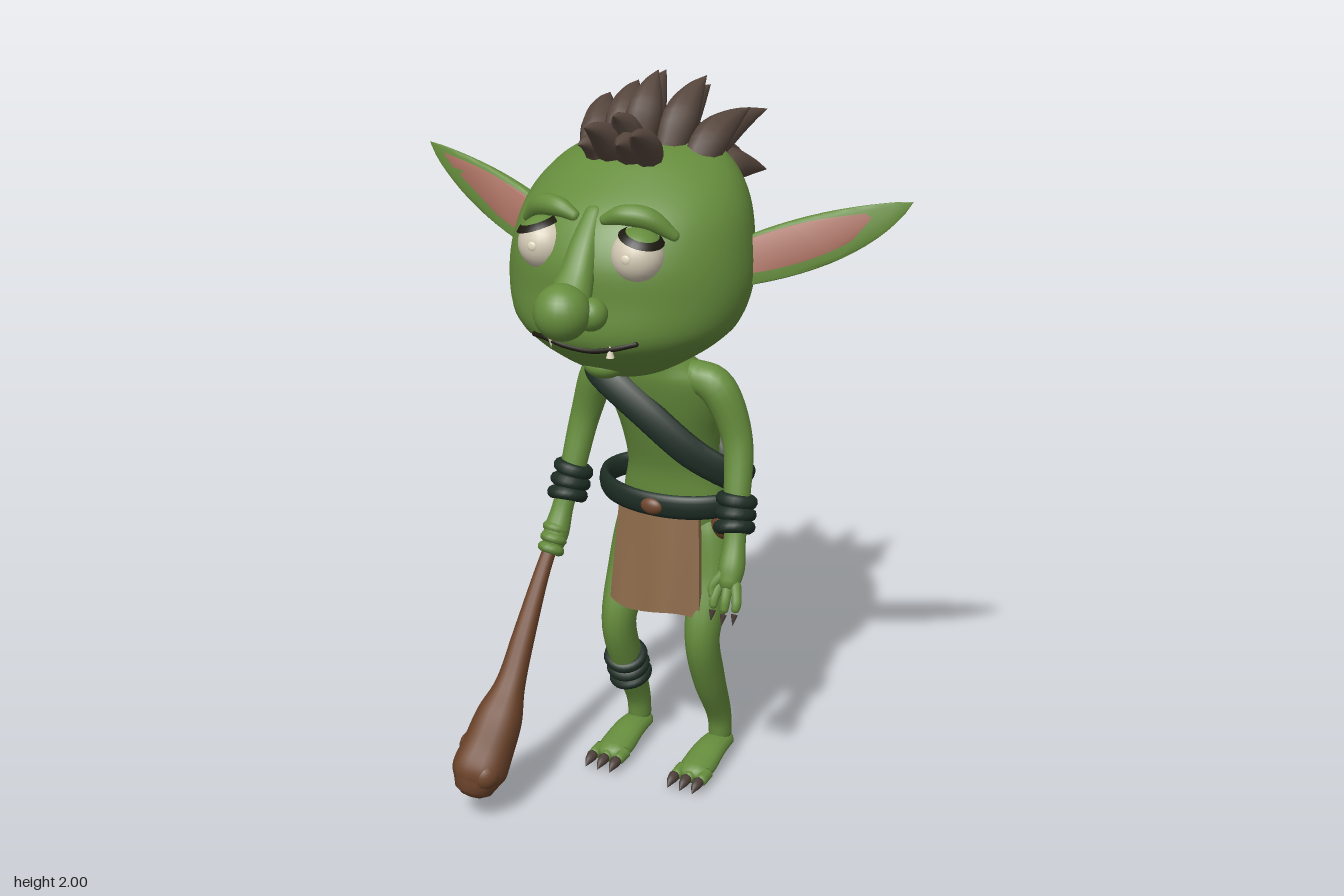
import * as THREE from 'three';
import { toCreasedNormals } from 'three/addons/utils/BufferGeometryUtils.js';

const paint = (name, color) => {
  const m = new THREE.MeshStandardMaterial({ color });
  m.name = name;
  return m;
};
const V = (x, y, z) => new THREE.Vector3(x, y, z);
const spline = (pts, closed = false) => new THREE.CatmullRomCurve3(pts, closed, 'catmullrom');

// Skins rings of { c, a, b } (centre and the two half axes, a x b pointing along the sweep)
function skin(rings, sides, closed = false) {
  const pos = [], index = [], n = rings.length;
  for (const { c, a, b } of rings) {
    for (let j = 0; j < sides; j++) {
      const t = (j / sides) * Math.PI * 2;
      const p = c.clone().addScaledVector(a, Math.cos(t)).addScaledVector(b, Math.sin(t));
      pos.push(p.x, p.y, p.z);
    }
  }
  for (let i = 0; i < (closed ? n : n - 1); i++) {
    for (let j = 0; j < sides; j++) {
      const k = (j + 1) % sides, u = i * sides, w = ((i + 1) % n) * sides;
      index.push(u + j, u + k, w + k, u + j, w + k, w + j);
    }
  }
  const g = new THREE.BufferGeometry();
  g.setAttribute('position', new THREE.Float32BufferAttribute(pos, 3));
  g.setIndex(index);
  g.computeVertexNormals();
  return g;
}

// Rounded limb through [x, y, z, radius] points; sa and sb squash the cross-section
function limb(pts, { sides = 14, steps = 6, sa = 1, sb = 1 } = {}) {
  const path = spline(pts.map(p => V(p[0], p[1], p[2])));
  const radius = spline(pts.map(p => V(p[3], 0, 0)));
  const d = path.getPoint(1).sub(path.getPoint(0));
  const ref = Math.abs(d.x) > Math.max(Math.abs(d.y), Math.abs(d.z)) ? V(0, 1, 0) : V(1, 0, 0);
  const n = (pts.length - 1) * steps, rings = [];
  const add = (t, k) => {
    const T = path.getTangent(t), r = Math.max(radius.getPoint(t).x, 0.001);
    const N = ref.clone().cross(T).normalize(), B = T.clone().cross(N);
    const s = r * Math.sqrt(1 - k * k);
    rings.push({ c: path.getPoint(t).addScaledVector(T, r * k * 0.7), a: N.multiplyScalar(s * sa), b: B.multiplyScalar(s * sb) });
  };
  [-1, -0.9, -0.6].forEach(k => add(0, k));
  for (let i = 0; i <= n; i++) add(i / n, 0);
  [0.6, 0.9, 1].forEach(k => add(1, k));
  return skin(rings, sides);
}

// Upright body from [y, z, half width, half depth] rows, listed upward
function smoothRows(rows, steps) {
  const c = spline(rows.map(r => V(0, r[0], r[1]))), s = spline(rows.map(r => V(r[2], r[3], 0)));
  const n = (rows.length - 1) * steps;
  return Array.from({ length: n + 1 }, (_, i) => {
    const q = s.getPoint(i / n);
    return { c: c.getPoint(i / n), a: V(0, 0, q.y), b: V(q.x, 0, 0) };
  });
}

// Closed strap around a centre
function strap(pts, centre, halfWidth, halfThick) {
  const path = spline(pts, true), rings = [];
  for (let i = 0; i < 64; i++) {
    const c = path.getPoint(i / 64), T = path.getTangent(i / 64);
    const N = c.clone().sub(centre);
    N.addScaledVector(T, -N.dot(T)).normalize();
    const B = T.clone().cross(N);
    rings.push({ c, a: N.multiplyScalar(halfThick), b: B.multiplyScalar(halfWidth) });
  }
  return skin(rings, 12, true);
}

export function createModel() {
  const model = new THREE.Group();
  model.name = 'goblin';
  const skinMat = paint('greenSkin', 0x668d3d), earMat = paint('innerEarPink', 0xa96f60);
  const hairMat = paint('hairBrown', 0x57473e), strapMat = paint('darkStrap', 0x1d2d24);
  const woodMat = paint('woodBrown', 0x6e452c), clothMat = paint('tanCloth', 0x8c6a4a);
  const eyeMat = paint('eyeWhite', 0xd3c9b4), lashMat = paint('lashBlack', 0x1c190f);
  const clawMat = paint('clawGrey', 0x4b3d38), toothMat = paint('toothCream', 0xe4dcc4);
  const add = (name, geo, mat, x = 0, y = 0, z = 0) => {
    const m = new THREE.Mesh(geo, mat);
    m.name = name;
    m.position.set(x, y, z);
    model.add(m);
    return m;
  };
  const ball = (r, t0 = 0, len = Math.PI) => new THREE.SphereGeometry(r, 24, 16, 0, Math.PI * 2, t0, len);

  // Head and torso
  const headRings = smoothRows([
    [1.237, 0.01, 0.005, 0.005], [1.25, 0.015, 0.08, 0.1], [1.29, 0.03, 0.155, 0.172], [1.35, 0.045, 0.24, 0.24],
    [1.41, 0.05, 0.295, 0.274], [1.5, 0.033, 0.318, 0.288], [1.6, 0.018, 0.31, 0.296], [1.7, -0.01, 0.283, 0.268],
    [1.78, -0.05, 0.225, 0.2], [1.825, -0.07, 0.14, 0.13], [1.845, -0.075, 0.005, 0.005]], 5);
  const faceZ = (x, y) => {
    const r = headRings.reduce((p, q) => (Math.abs(q.c.y - y) < Math.abs(p.c.y - y) ? q : p));
    return r.c.z + r.a.z * Math.sqrt(Math.max(0, 1 - (x / r.b.x) ** 2));
  };
  add('head', skin(headRings, 40), skinMat);
  add('torso', skin(smoothRows([
    [0.64, -0.235, 0.005, 0.005], [0.67, -0.235, 0.1, 0.07], [0.74, -0.24, 0.155, 0.1], [0.81, -0.235, 0.152, 0.108],
    [0.9, -0.22, 0.132, 0.1], [1.0, -0.2, 0.14, 0.11], [1.1, -0.17, 0.16, 0.11], [1.18, -0.14, 0.155, 0.1],
    [1.225, -0.12, 0.11, 0.085], [1.27, -0.09, 0.07, 0.07], [1.36, -0.03, 0.06, 0.06]], 4), 28), skinMat);

  // Nose, chin and mouth
  add('noseBridge', limb([[0, 1.71, 0.23, 0.02], [0, 1.64, 0.282, 0.032], [0, 1.57, 0.325, 0.04], [0, 1.51, 0.37, 0.052]], { sb: 1.15 }), skinMat);
  add('noseTip', ball(0.071), skinMat, 0, 1.5, 0.398);
  add('chin', ball(0.05), skinMat, 0, 1.302, 0.182).scale.set(1.1, 0.7, 1);
  add('mouth', limb([-0.145, -0.1, -0.04, 0.03, 0.09, 0.145].map((x, i) => {
    const y = [1.39, 1.392, 1.382, 1.38, 1.392, 1.408][i];
    return [x, y, faceZ(x, y) - 0.001, 0.007];
  }), { sides: 8 }), lashMat);

  for (const s of [1, -1]) {
    const side = s > 0 ? 'left' : 'right';
    const put = (name, ...rest) => add(side + name, ...rest);
    const mir = pts => pts.map(([x, ...r]) => [x * s, ...r]);

    put('Nostril', ball(0.042), skinMat, s * 0.054, 1.49, 0.352);
    put('Fang', new THREE.ConeGeometry(0.011, 0.036, 8), toothMat, s * 0.083, 1.388, faceZ(0.083, 1.388) + 0.006).rotation.x = s > 0 ? 0 : Math.PI;

    // Eyes with drooping lids
    const ex = s * 0.129, ey = 1.62, ez = 0.25;
    put('Eye', ball(0.067), eyeMat, ex, ey, ez);
    put('Pupil', ball(0.012), toothMat, ex, ey + 0.006, ez + 0.064).scale.z = 0.4;
    put('UpperLid', ball(0.071, 0, Math.PI * 0.24), skinMat, ex, ey, ez).rotation.set(0.12, 0, -s * 0.28);
    put('Lash', ball(0.075, Math.PI * 0.19, Math.PI * 0.09), lashMat, ex, ey, ez).rotation.set(0.12, 0, -s * 0.28);
    put('LowerLid', ball(0.07, Math.PI * 0.82, Math.PI * 0.18), skinMat, ex, ey, ez);
    put('Brow', limb(mir([[0.04, 1.7, 0.255, 0.014], [0.09, 1.717, 0.25, 0.025], [0.15, 1.708, 0.228, 0.027], [0.205, 1.665, 0.2, 0.014]])), skinMat);

    // Ears, swept back toward the tip
    const ear = (name, p, depth, bevel, z0, mat) => {
      const sh = new THREE.Shape();
      sh.moveTo(s * p[0], p[1]);
      sh.quadraticCurveTo(s * p[2], p[3], s * p[4], p[5]);
      sh.quadraticCurveTo(s * p[6], p[7], s * p[0], p[8]);
      sh.closePath();
      const g = new THREE.ExtrudeGeometry(sh, { depth, curveSegments: 14, bevelEnabled: bevel > 0, bevelSize: bevel, bevelThickness: bevel, bevelSegments: 2 });
      const a = g.attributes.position;
      for (let i = 0; i < a.count; i++) {
        const x = Math.abs(a.getX(i)), y = a.getY(i), taper = Math.max(0.15, (0.72 - x) / 0.42);
        a.setZ(i, (a.getZ(i) + z0) * taper - 0.05 - (x - 0.31) * 0.17 - (y - 1.56) * 0.25 * taper);
      }
      put(name, toCreasedNormals(g, 0.7), mat);
    };
    ear('Ear', [0.27, 1.6, 0.45, 1.69, 0.685, 1.73, 0.57, 1.56, 1.495], 0.018, 0.007, -0.01, skinMat);
    ear('InnerEar', [0.27, 1.6, 0.44, 1.68, 0.645, 1.712, 0.52, 1.565, 1.52], 0.006, 0, 0.012, earMat);

    // Arms and hands
    put('Arm', limb(mir([[0.1, 1.195, -0.12, 0.045], [0.175, 1.165, -0.125, 0.05], [0.228, 1.03, -0.135, 0.042], [0.248, 0.88, -0.095, 0.036],
      [0.26, 0.78, -0.06, 0.03], [0.266, 0.71, -0.03, 0.036], [0.268, 0.67, -0.01, 0.03]])), skinMat);
    const ringStack = (name, centre, dir, step, R, tube) => [-1, 0, 1].forEach(k => {
      const c = centre.clone().addScaledVector(dir, k * step);
      const m = put(name, new THREE.TorusGeometry(R, tube, 10, 24), strapMat, c.x, c.y, c.z);
      m.quaternion.setFromUnitVectors(V(0, 0, 1), V(dir.x + k * 0.12, dir.y, dir.z + k * 0.08).normalize());
    });
    ringStack('WristWrap', V(s * 0.25, 0.84, -0.083), V(s * 0.08, -0.93, 0.36).normalize(), 0.036, 0.038, 0.019);
    if (s > 0) {
      [-0.032, 0, 0.032].forEach((o, i) => {
        const x = 0.272 + o, low = i === 1 ? 0.608 : 0.615;
        put('Finger', limb([[0.268 + o * 0.7, 0.67, -0.005, 0.015], [x, 0.635, 0.018, 0.014], [x, low, 0.027, 0.012]], { sides: 8 }), skinMat);
        put('FingerClaw', limb([[x, low - 0.012, 0.032, 0.01], [x, low - 0.038, 0.042, 0.001]], { sides: 8 }), clawMat);
      });
      put('Thumb', limb([[0.255, 0.7, -0.01, 0.016], [0.23, 0.665, 0.01, 0.013], [0.232, 0.64, 0.02, 0.01]], { sides: 8 }), skinMat);
    } else {
      [0.715, 0.69, 0.665].forEach(y => {
        const m = put('GripFinger', new THREE.TorusGeometry(0.025, 0.014, 8, 18), skinMat, -0.268, y, -0.03 + (0.715 - y) * 0.6);
        m.quaternion.setFromUnitVectors(V(0, 0, 1), V(-0.1, -0.85, 0.5).normalize());
      });
    }

    // Legs, feet and claws
    put('Leg', limb(mir([[0.09, 0.78, -0.245, 0.06], [0.105, 0.7, -0.24, 0.075], [0.122, 0.58, -0.21, 0.07], [0.13, 0.43, -0.14, 0.051],
      [0.13, 0.28, -0.185, 0.046], [0.13, 0.14, -0.255, 0.036], [0.13, 0.06, -0.27, 0.034]]), { sa: 1.12, sb: 0.94 }), skinMat);
    put('Foot', limb(mir([[0.13, 0.042, -0.275, 0.038], [0.13, 0.042, -0.2, 0.044], [0.13, 0.026, -0.13, 0.048], [0.13, 0.02, -0.09, 0.044]]), { sa: 0.66, sb: 1.05 }), skinMat);
    [-0.038, 0, 0.038].forEach(o => {
      const x = s * 0.13 + o;
      put('Toe', limb([[x, 0.022, -0.1, 0.018], [x * 1.01, 0.02, -0.06, 0.017]], { sides: 10 }), skinMat);
      put('ToeClaw', limb([[x, 0.022, -0.045, 0.016], [x, 0.017, -0.025, 0.012], [x, 0.006, -0.004, 0.001]], { sides: 8 }), clawMat);
    });
    if (s < 0) ringStack('AnkleWrap', V(-0.13, 0.255, -0.195), V(0, -0.92, -0.39), 0.04, 0.047, 0.016);
  }

  // Sash, loose belt, buckle and pouch
  add('sash', strap([V(-0.18, 1.205, -0.12), V(-0.13, 1.195, -0.04), V(0, 1.1, -0.04), V(0.13, 0.985, -0.08), V(0.235, 0.905, -0.16),
    V(0.15, 0.89, -0.28), V(0, 0.965, -0.32), V(-0.1, 1.07, -0.285), V(-0.165, 1.17, -0.2)], V(0, 1.03, -0.18), 0.043, 0.016), strapMat);
  const beltPts = Array.from({ length: 16 }, (_, i) => {
    const t = (i / 16) * Math.PI * 2;
    return V(Math.sin(t) * 0.205, 0.828 - Math.cos(t) * 0.014, -0.222 + Math.cos(t) * 0.127);
  });
  add('belt', strap(beltPts, V(0, 0.825, -0.222), 0.036, 0.016), strapMat);
  add('buckle', ball(0.03), woodMat, 0, 0.813, -0.085).scale.set(1.1, 0.8, 0.6);
  add('pouch', ball(0.045), woodMat, 0.165, 0.75, -0.205).scale.set(0.9, 1.05, 0.85);

  // Loincloth flaps, flared and bowed around the hips
  const flap = (name, mat, h, z, lean, face) => {
    const g = new THREE.BoxGeometry(1, h, 0.016, 14, 8, 1), a = g.attributes.position;
    for (let i = 0; i < a.count; i++) {
      const d = 0.5 - a.getY(i) / h, x = a.getX(i) * (0.24 + 0.035 * d);
      const wave = Math.sin(x * 45) * 0.006 * d;
      a.setXYZ(i, x, a.getY(i) + d * Math.sin(x * 30) * 0.008, a.getZ(i) + lean * d + wave - face * x * x * 1.6);
    }
    g.computeVertexNormals();
    add(name, g, mat, 0, 0.81 - h / 2, z);
  };
  flap('frontLoincloth', clothMat, 0.31, -0.112, 0.032, 1);
  flap('backLoincloth', woodMat, 0.28, -0.34, -0.014, -1);

  // Club, lumpy at the striking end
  add('club', limb([[-0.262, 0.74, -0.055, 0.018], [-0.275, 0.62, 0.03, 0.021], [-0.283, 0.46, 0.128, 0.031], [-0.287, 0.34, 0.2, 0.041],
    [-0.295, 0.26, 0.25, 0.064], [-0.305, 0.18, 0.3, 0.072], [-0.312, 0.13, 0.335, 0.076], [-0.315, 0.1, 0.352, 0.062]], { sides: 12 }), woodMat);
  add('clubKnot', ball(0.045), woodMat, -0.343, 0.18, 0.3);
  add('clubKnot', ball(0.045), woodMat, -0.285, 0.135, 0.355);

  // Hair spikes: root, tip, thickness
  const spike = (bx, by, bz, tx, ty, tz, r = 0.047) => add('hairSpike', limb([
    [bx, by - 0.02, bz, r * 0.8], [bx * 0.7 + tx * 0.3, by * 0.65 + ty * 0.35 + 0.012, bz * 0.7 + tz * 0.3, r],
    [bx * 0.35 + tx * 0.65, by * 0.3 + ty * 0.7 + 0.012, bz * 0.35 + tz * 0.65, r * 0.6], [tx, ty, tz, 0.001]], { sides: 9, steps: 4 }), hairMat);
  [
    [-0.14, 1.79, -0.03, -0.215, 1.89, -0.26], [-0.07, 1.82, -0.03, -0.11, 1.94, -0.22], [0, 1.83, 0, 0, 1.995, -0.115],
    [0.07, 1.82, -0.03, 0.09, 1.972, -0.21], [0.14, 1.79, -0.03, 0.19, 1.89, -0.26], [-0.11, 1.79, -0.12, -0.135, 1.875, -0.415],
    [-0.04, 1.82, -0.09, -0.06, 1.96, -0.28], [0.04, 1.82, -0.1, 0.03, 1.915, -0.36], [0.11, 1.79, -0.12, 0.18, 1.86, -0.39],
    [-0.1, 1.75, -0.18, -0.1, 1.78, -0.39], [0, 1.78, -0.17, 0.03, 1.765, -0.465], [0.08, 1.76, -0.19, 0.1, 1.72, -0.43],
    [0.12, 1.74, -0.17, 0.2, 1.71, -0.35], [-0.03, 1.74, -0.22, -0.04, 1.685, -0.42], [-0.13, 1.75, -0.13, -0.19, 1.8, -0.32],
    // Forelock
    [-0.065, 1.8, 0.04, -0.085, 1.85, 0.155, 0.04], [-0.03, 1.805, 0.05, -0.035, 1.91, 0.215, 0.04], [0.02, 1.805, 0.05, 0.04, 1.87, 0.19, 0.04],
    [0.06, 1.8, 0.04, 0.1, 1.905, 0.225, 0.04], [0, 1.82, 0.02, 0.01, 1.93, 0.15, 0.04],
  ].forEach(p => spike(...p));

  return model;
}
